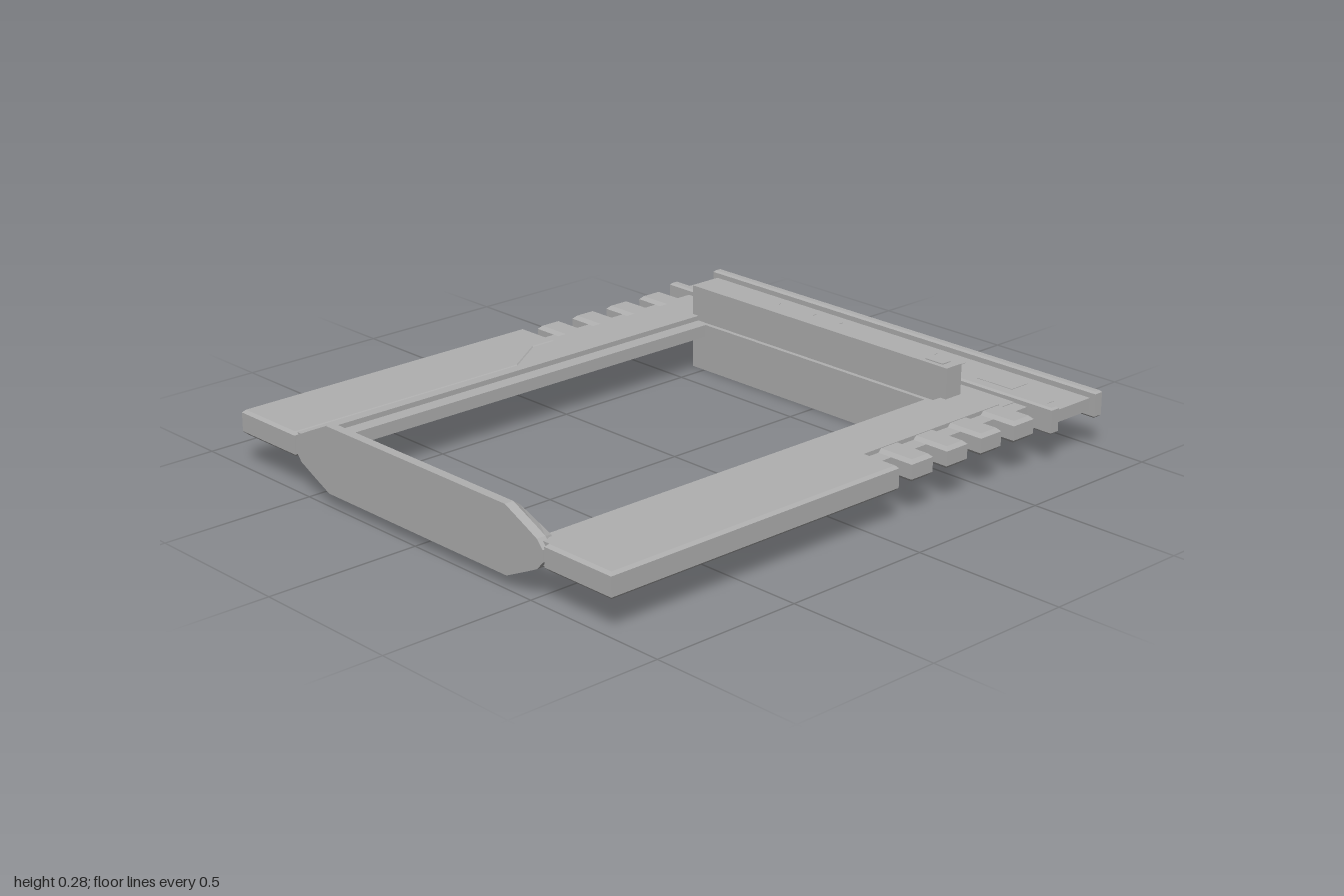
import * as THREE from 'three';

const MID = 0.145; // height of the frame's middle plane

export function createModel() {
  const model = new THREE.Group();
  model.name = 'frameAssembly';
  const grey = new THREE.MeshStandardMaterial({ color: 0xb0b0b0 });
  grey.name = 'plain grey';

  function add(name, geometry) {
    const mesh = new THREE.Mesh(geometry, grey);
    mesh.name = name;
    model.add(mesh);
    return mesh;
  }

  // Box given by its limits
  function box(name, x0, x1, y0, y1, z0, z1) {
    add(name, new THREE.BoxGeometry(x1 - x0, y1 - y0, z1 - z0))
      .position.set((x0 + x1) / 2, (y0 + y1) / 2, (z0 + z1) / 2);
  }

  // Flat slab from an outline in x and z, centred on the middle plane
  function slab(name, outline, thick, bevel = 0) {
    const shape = new THREE.Shape(outline.map(([x, z]) => new THREE.Vector2(x, z)));
    const geometry = new THREE.ExtrudeGeometry(shape, {
      depth: thick - 2 * bevel, bevelEnabled: bevel > 0,
      bevelSize: bevel, bevelThickness: bevel, bevelOffset: -bevel, bevelSegments: 1,
    });
    geometry.rotateX(Math.PI / 2).translate(0, MID + thick / 2 - bevel, 0);
    add(name, geometry);
  }

  // Back beam: thin web between two taller flanges
  box('backWeb', -0.815, 0.815, 0.125, 0.165, -0.98, -0.78);
  const flange = (z0, z1) => slab('backFlange',
    [[-0.835, z0], [0.835, z0], [0.835, z1], [-0.835, z1]], 0.085, 0.006);
  flange(-1, -0.968);
  flange(-0.795, -0.762);

  // Plate between the back beam and the opening
  box('backPlate', -0.69, 0.69, 0.12, 0.17, -0.765, -0.69);
  box('rearCrossPlate', -0.69, 0.69, 0.109, 0.181, -0.69, -0.605);
  box('rearInnerLip', -0.53, 0.53, 0.125, 0.165, -0.605, -0.59);

  // Tall cross bar with a small latch plate
  slab('crossBar', [[-0.555, -0.675], [0.552, -0.675], [0.552, -0.605], [-0.555, -0.605]], 0.07);
  box('tallCrossBar', -0.555, 0.552, 0, 0.28, -0.672, -0.605);
  box('latchPlate', 0.45, 0.52, 0.28, 0.283, -0.658, -0.622);

  for (const s of [-1, 1]) {
    const mirror = (points) => points.map(([x, z]) => [s * x, z]);
    const sideBox = (name, x0, x1, y0, y1, z0, z1) =>
      box(name, Math.min(s * x0, s * x1), Math.max(s * x0, s * x1), y0, y1, z0, z1);

    // Side rail with a stepped inner lip
    slab('sidePlate', mirror([[0.53, -0.605], [0.69, -0.605], [0.69, 0], [0.58, 0.15],
      [0.58, 0.985], [0.53, 0.985]]), 0.072);
    sideBox('innerLip', 0.48, 0.535, 0.125, 0.165, -0.605, 0.95);

    // Toothed edge
    sideBox('toothRail', 0.68, 0.74, 0.122, 0.168, -0.765, -0.09);
    for (const z of [-0.652, -0.504, -0.354, -0.204]) {
      slab('tooth', mirror([[0.655, z - 0.045], [0.82, z - 0.045],
        [0.82, z + 0.045], [0.655, z + 0.045]]), 0.068, 0.011);
    }

    // Wide side panel with a slanted inner corner
    slab('sidePanel', mirror([[0.825, -0.1], [0.66, -0.1], [0.66, -0.01], [0.56, 0.14],
      [0.56, 1], [0.825, 1]]), 0.078, 0.009);

    // Inset plates on both faces of the back web
    const insets = [[0.535, -0.888, 0.14, 0.075], [0.327, -0.912, 0.042, 0.04],
      [0.207, -0.912, 0.042, 0.04], [0.74, -0.845, 0.038, 0.04]];
    for (const [x, z, w, d] of insets) {
      sideBox('webInset', x - w / 2, x + w / 2, 0.1235, 0.1665, z - d / 2, z + d / 2);
    }
  }

  // Front end plate: chamfered outline, tapering towards the back
  const quarter = [[0.4, 0.105], [0.48, 0.068], [0.53, 0.044], [0.553, 0.018]];
  const upper = [...quarter, ...quarter.map(([x, y]) => [x, -y]).reverse()];
  const outline = [...upper, ...upper.map(([x, y]) => [-x, y]).reverse()];
  const endPlate = new THREE.ExtrudeGeometry(
    new THREE.Shape(outline.map(([x, y]) => new THREE.Vector2(x, y))),
    { depth: 0.06, steps: 2, bevelEnabled: false });
  const p = endPlate.attributes.position;
  for (let i = 0; i < p.count; i++) {
    if (p.getZ(i) < 0.01) p.setXY(i, p.getX(i) * 0.98, p.getY(i) * 0.8);
  }
  endPlate.computeVertexNormals();
  endPlate.translate(0, MID, 0.94);
  add('frontEndPlate', endPlate);

  return model;
}
